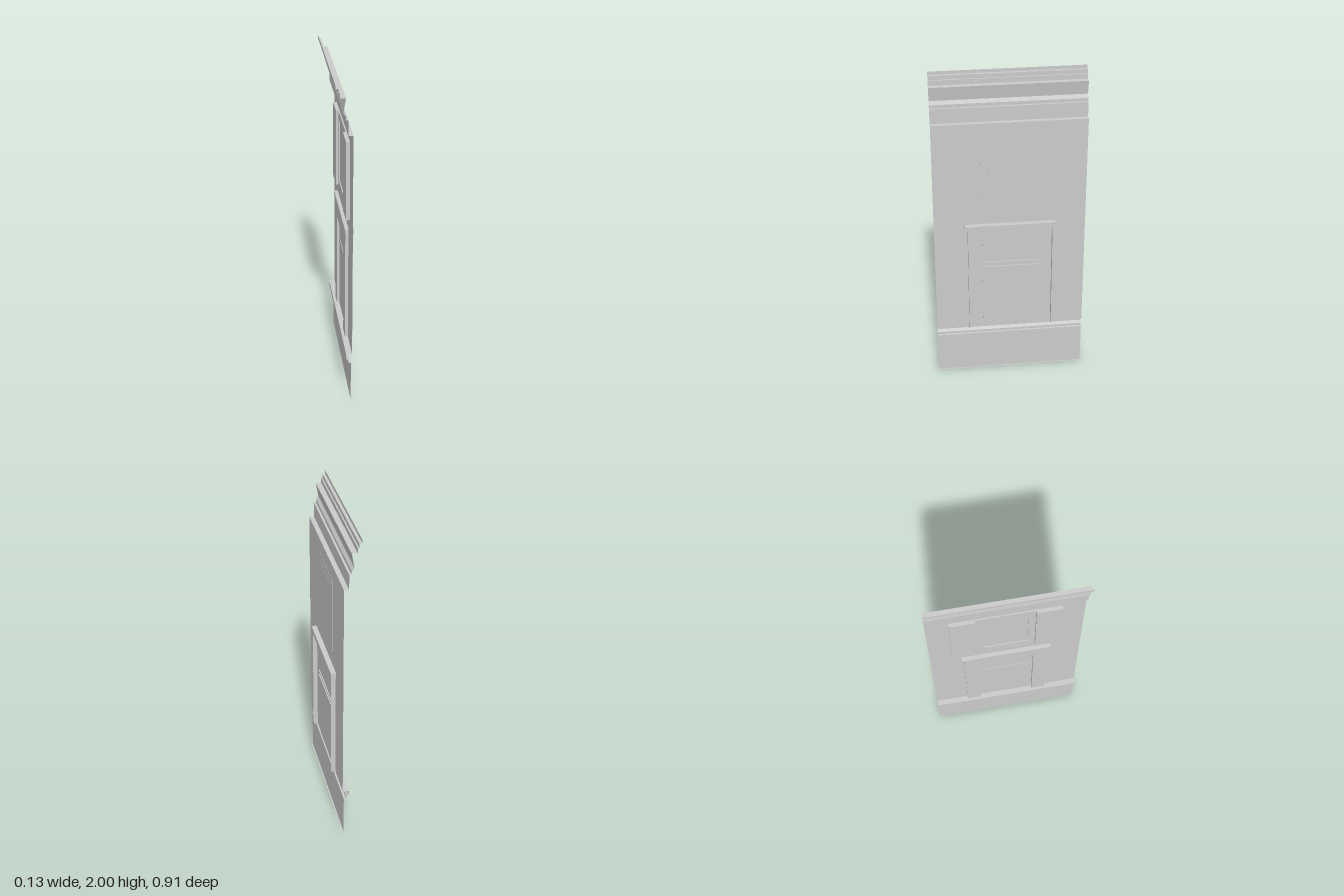
import * as THREE from 'three';

const material = new THREE.MeshStandardMaterial({
  color: 0xcccccc, flatShading: true, side: THREE.DoubleSide,
});

function add(parent, name, geometry) {
  const mesh = new THREE.Mesh(geometry, material);
  mesh.name = name;
  parent.add(mesh);
  return mesh;
}

// Open sheet: a 2D line swept between two values along 'y' or 'z'
function sheet(points, axis, from, to) {
  const at = ([a, b], t) => (axis === 'z' ? [a, b, t] : [a, t, b]);
  const positions = [];
  for (let i = 0; i < points.length - 1; i++) {
    const a = at(points[i], from), b = at(points[i + 1], from);
    const c = at(points[i + 1], to), d = at(points[i], to);
    positions.push(...a, ...b, ...c, ...a, ...c, ...d);
  }
  const geometry = new THREE.BufferGeometry();
  geometry.setAttribute('position', new THREE.Float32BufferAttribute(positions, 3));
  geometry.computeVertexNormals();
  return geometry;
}

// Box given by its limits
function box(x0, x1, y0, y1, z0, z1) {
  return new THREE.BoxGeometry(x1 - x0, y1 - y0, z1 - z0)
    .translate((x0 + x1) / 2, (y0 + y1) / 2, (z0 + z1) / 2);
}

export function createModel() {
  const model = new THREE.Group();
  model.name = 'facadePanel';
  const WALL = 0.033, HALF = 0.454;

  // Base with its ledge, wall face and stepped cornice
  const base = [
    [WALL, 0], [0.026, 0], [0.026, 0.26], [0.012, 0.26], [0.012, 0.275],
    [-0.002, 0.29], [-0.002, 0.32], [WALL, 0.32],
  ];
  const wall = [[WALL, 0.32], [WALL, 1.71]];
  const cornice = [
    [WALL, 1.71], [0.005, 1.71], [0.005, 1.8], [-0.008, 1.8], [-0.008, 1.82],
    [-0.023, 1.84], [-0.008, 1.925], [-0.04, 1.925], [-0.04, 1.955],
    [-0.048, 1.955], [-0.048, 1.98], [-0.065, 1.98], [-0.065, 2],
  ];
  add(model, 'base', sheet(base, 'z', -HALF, HALF));
  add(model, 'wall', sheet(wall, 'z', -HALF, HALF));
  add(model, 'cornice', sheet(cornice, 'z', -HALF, HALF));

  // Door surround: hollow pilasters, head and lintel
  const door = new THREE.Group();
  door.name = 'door';
  model.add(door);
  for (const s of [1, -1]) {
    const pilaster = [[0.06, 0.254 * s], [0.015, 0.254 * s], [0.015, 0.168 * s], [WALL, 0.168 * s]];
    add(door, s > 0 ? 'leftPilaster' : 'rightPilaster', sheet(pilaster, 'y', 0.32, 1.025));
  }
  add(door, 'doorHead', box(0.015, WALL - 0.001, 0.93, 1.025, -0.168, 0.168));

  const lintel = new THREE.Shape([
    [0.064, 1.055], [0.012, 1.055], [0.01, 1.05], [0.01, 1.035], [0.016, 1.02], [0.064, 1.02],
  ].map(([x, y]) => new THREE.Vector2(x, y)));
  add(door, 'lintel', new THREE.ExtrudeGeometry(lintel, { depth: 0.54, bevelEnabled: false })
    .translate(0, 0, -0.27));

  // Door leaf and the hollow bar across it
  add(door, 'doorLeaf', box(0.031, 0.035, 0.32, 0.93, -0.167, 0.167));
  const bar = [[0.041, 0.79], [0.028, 0.79], [0.028, 0.757], [0.041, 0.757]];
  add(door, 'doorBar', sheet(bar, 'z', -0.176, 0.176));

  // Window: surround with an opening, pane and a shutter on each side
  const win = new THREE.Group();
  win.name = 'window';
  model.add(win);
  const rect = (Type, z, y0, y1) => new Type(
    [[-z, y0], [z, y0], [z, y1], [-z, y1]].map(([a, b]) => new THREE.Vector2(a, b)));
  const surround = rect(THREE.Shape, 0.172, 1.14, 1.62);
  surround.holes.push(rect(THREE.Path, 0.132, 1.18, 1.572));
  add(win, 'windowSurround', new THREE.ExtrudeGeometry(surround, { depth: 0.009, bevelEnabled: false })
    .rotateY(Math.PI / 2).translate(0.025, 0, 0));
  add(win, 'windowPane', box(0.031, 0.035, 1.18, 1.572, -0.132, 0.132));
  for (const s of [1, -1]) {
    const z = [0.172 * s, 0.322 * s].sort((a, b) => a - b);
    add(win, s > 0 ? 'leftShutter' : 'rightShutter', box(0.01, WALL - 0.001, 1.14, 1.62, z[0], z[1]));
  }
  return model;
}
